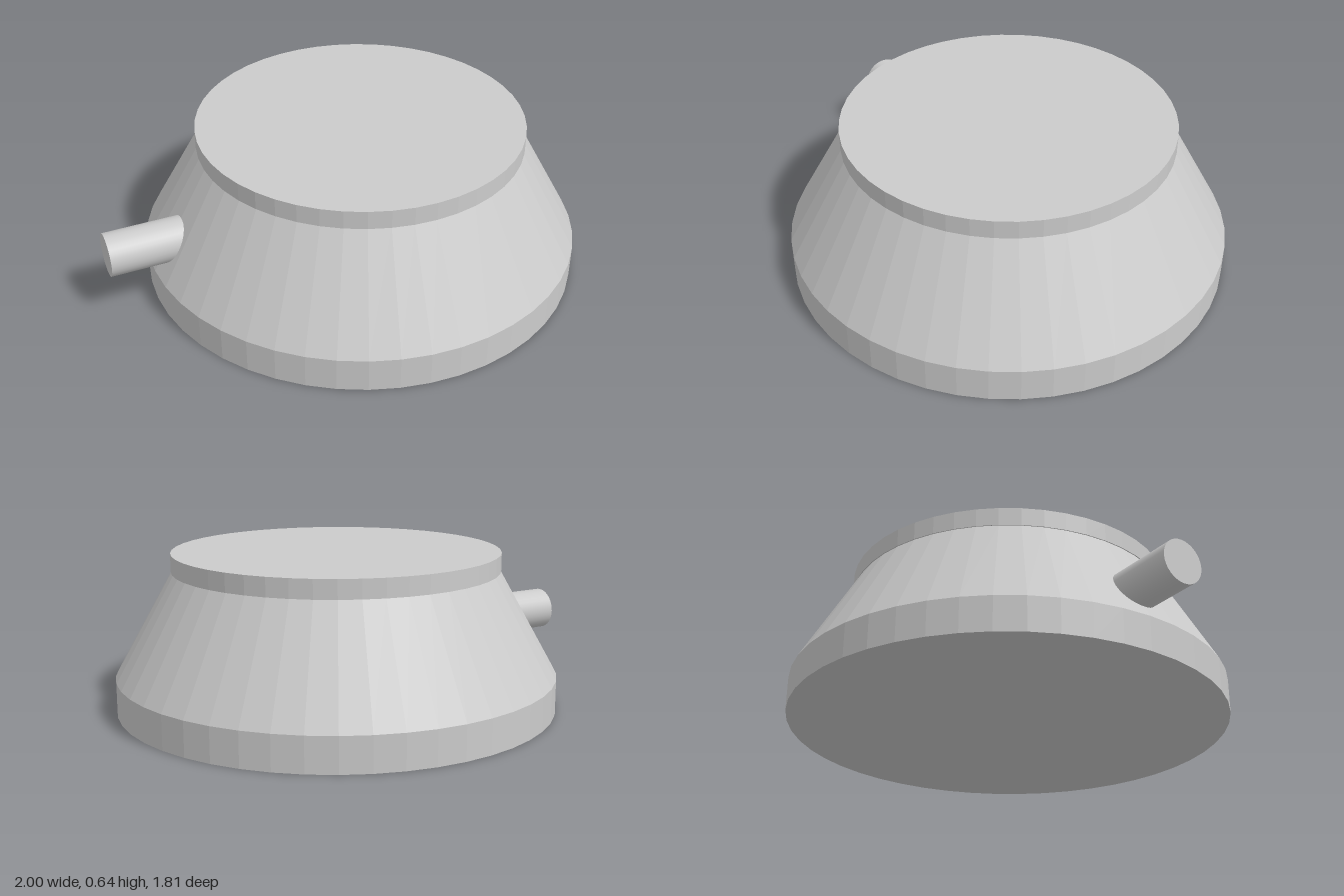
import * as THREE from 'three';

const SIDES = 48;

export function createModel() {
  const model = new THREE.Group();
  const facetedMat = new THREE.MeshStandardMaterial({ color: 0xcccccc, flatShading: true });

  // Adds a round section standing between two heights on the body axis
  const body = new THREE.Group();
  body.name = 'body';
  body.position.x = 0.093;
  const addSection = (name, bottomRadius, topRadius, y0, y1) => {
    const mesh = new THREE.Mesh(
      new THREE.CylinderGeometry(topRadius, bottomRadius, y1 - y0, SIDES), facetedMat);
    mesh.name = name;
    mesh.position.y = (y0 + y1) / 2;
    body.add(mesh);
  };
  addSection('baseRing', 0.907, 0.907, 0, 0.14);
  addSection('taperedBody', 0.907, 0.668, 0.14, 0.565);
  addSection('topCap', 0.672, 0.672, 0.565, 0.64);
  model.add(body);

  // Side pipe, running from its open-air end into the tapered body
  const pipe = new THREE.Mesh(
    new THREE.CylinderGeometry(0.088, 0.088, 0.5, 32),
    new THREE.MeshStandardMaterial({ color: 0xcccccc }));
  pipe.name = 'sidePipe';
  pipe.rotation.z = Math.PI / 2;
  pipe.position.set(-0.75, 0.277, 0);
  model.add(pipe);

  return model;
}
